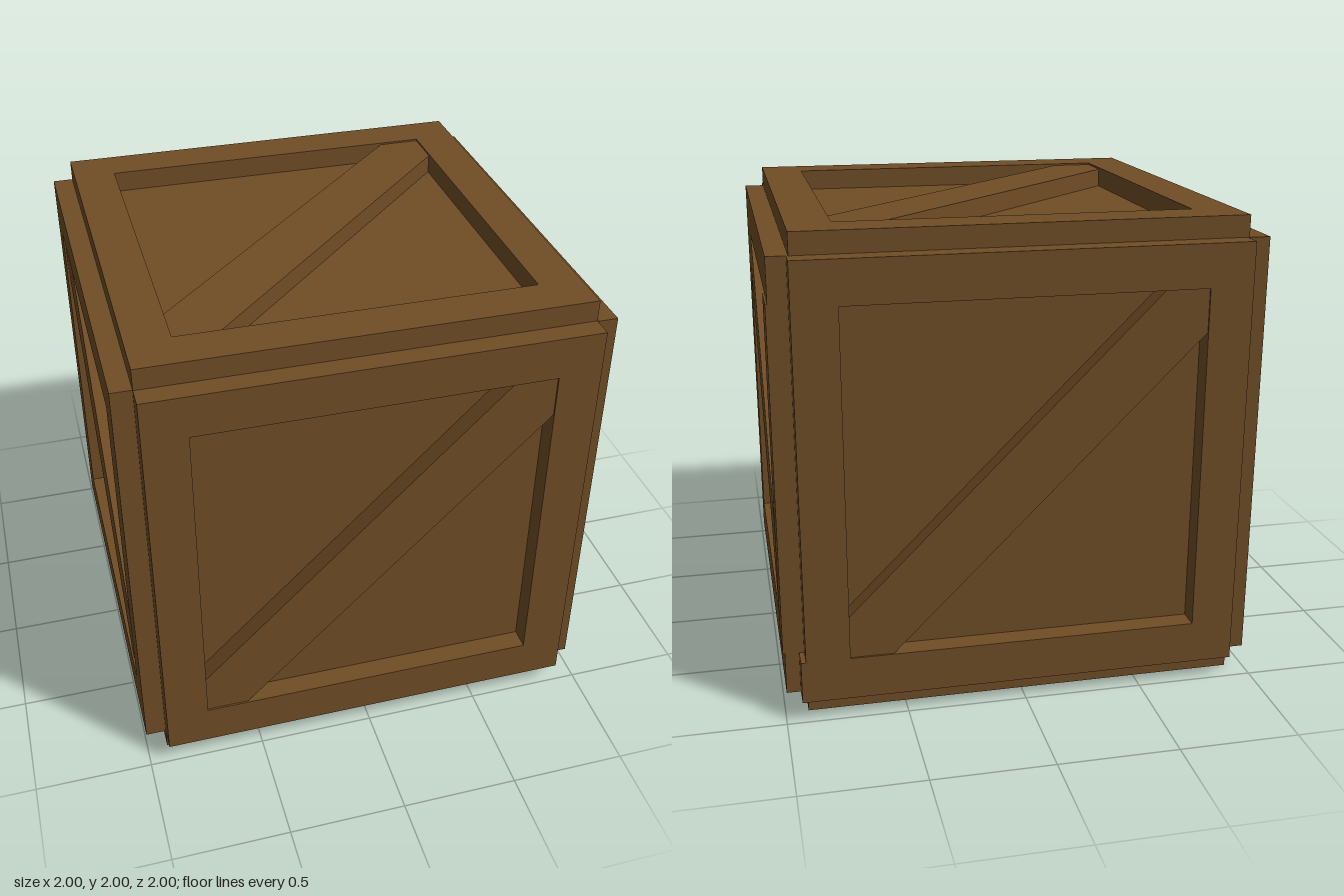
import * as THREE from 'three';

const OUT = 0.91;   // half size of the core and of each frame
const INN = 0.73;   // half size of the frame opening
const THICK = 0.09; // board thickness

export function createModel() {
  const crate = new THREE.Group();
  crate.name = 'crate';
  const wood = new THREE.MeshStandardMaterial({ color: 0x704d26, flatShading: true });

  function add(parent, name, geometry) {
    const mesh = new THREE.Mesh(geometry, wood);
    mesh.name = name;
    parent.add(mesh);
    return mesh;
  }

  // Board spanning x0..x1, y0..y1 and lying on the core face
  function board(parent, name, x0, x1, y0, y1, thick) {
    add(parent, name, new THREE.BoxGeometry(x1 - x0, y1 - y0, thick))
      .position.set((x0 + x1) / 2, (y0 + y1) / 2, OUT + thick / 2);
  }

  // Diagonal brace cut to fit the opening, set just below the frame surface
  const cut = 0.55;
  function braceGeometry(flip) {
    const points = [[-INN, -INN], [-cut, -INN], [INN, cut], [INN, INN], [cut, INN], [-INN, -cut]]
      .map(([x, y]) => new THREE.Vector2(x * flip, y));
    return new THREE.ExtrudeGeometry(new THREE.Shape(points), { depth: THICK - 0.008, bevelEnabled: false });
  }

  // Inner box whose faces are the recessed panels
  add(crate, 'core', new THREE.BoxGeometry(2 * OUT, 2 * OUT, 2 * OUT)).position.y = 1;

  // One frame per face; lowerEnd is how far its lower board sticks out at its left end
  const sides = [
    { name: 'front', rx: 0, ry: 0, flip: 1, thick: 0.09, lowerEnd: 0 },
    { name: 'back', rx: 0, ry: Math.PI, flip: 1, thick: 0.09, lowerEnd: 0.02 },
    { name: 'left', rx: 0, ry: Math.PI / 2, flip: -1, thick: 0.082, lowerEnd: 0 },
    { name: 'right', rx: 0, ry: -Math.PI / 2, flip: -1, thick: 0.09, lowerEnd: 0 },
    { name: 'top', rx: -Math.PI / 2, ry: 0, flip: 1, thick: 0.09, lowerEnd: 0 },
    { name: 'bottom', rx: Math.PI / 2, ry: 0, flip: 1, thick: 0.09, lowerEnd: 0.01 },
  ];
  for (const s of sides) {
    const side = new THREE.Group();
    side.name = s.name + 'Side';
    side.position.y = 1;
    side.rotation.set(s.rx, s.ry, 0);
    const frame = new THREE.Group();
    frame.name = s.name + 'Frame';
    frame.position.x = -0.004;
    board(frame, 'upperBoard', -OUT, OUT, INN, OUT, s.thick);
    board(frame, 'lowerBoard', -OUT - s.lowerEnd, OUT, -OUT, -INN, s.thick);
    board(frame, 'leftBoard', -OUT, -INN, -INN, INN, s.thick);
    board(frame, 'rightBoard', INN, OUT, -INN, INN, s.name === 'left' ? 0.09 : s.thick);
    add(frame, 'brace', braceGeometry(s.flip)).position.z = OUT;
    side.add(frame);
    crate.add(side);
  }
  return crate;
}
